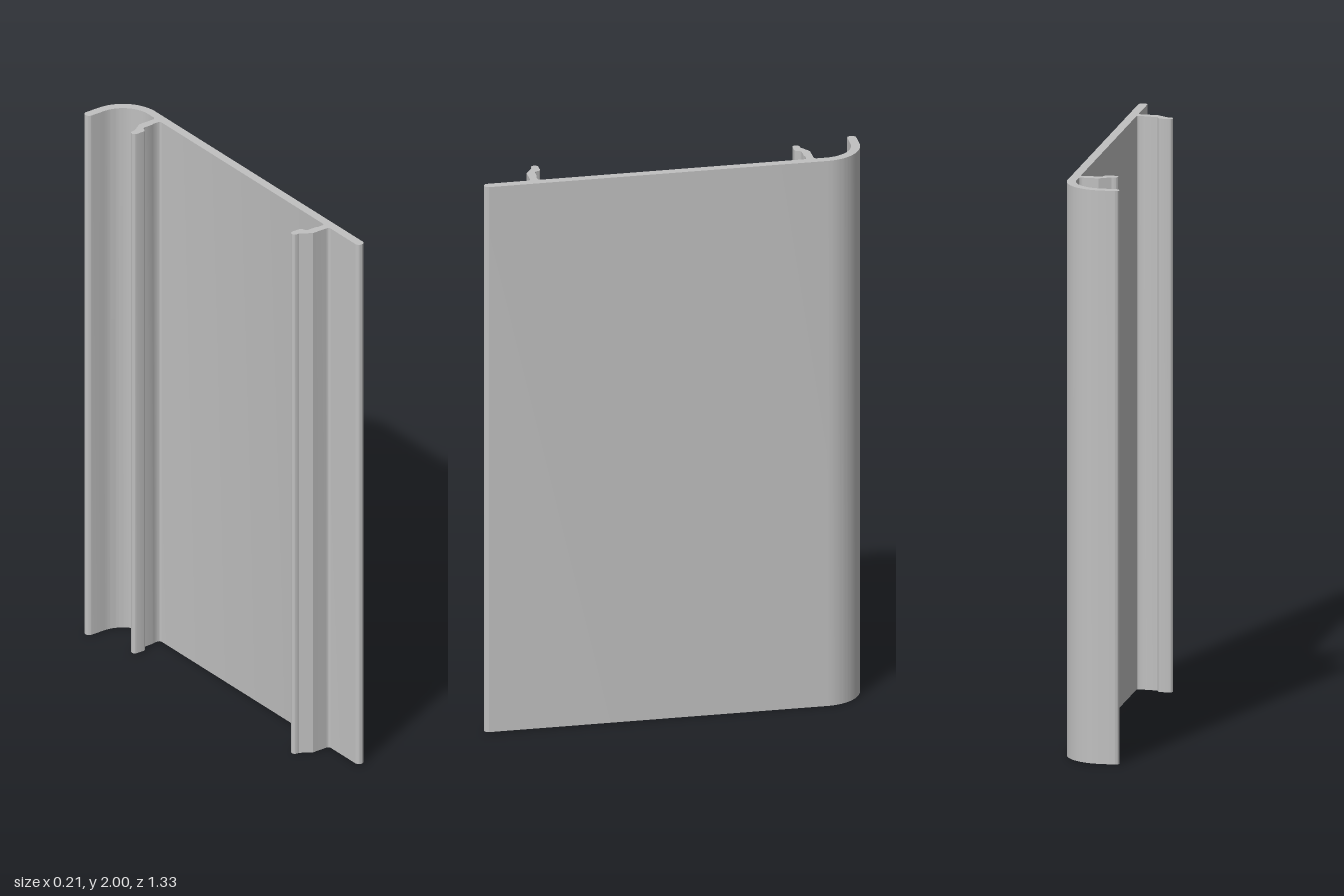
import * as THREE from 'three';
import { toCreasedNormals } from 'three/addons/utils/BufferGeometryUtils.js';

const HEIGHT = 2;
const OUT = 0.103, IN = 0.072;      // outer and inner faces of the panel
const END = 0.664;                  // half the panel width
const T = OUT - IN, R = 0.138;      // wall thickness, bend radius

// Hooked clip rib: outline from its outer root round the tip to its inner root.
// x runs across the panel, y is the distance from the tip's inner face.
function ribPoints() {
  const p = new THREE.Path();
  p.moveTo(IN, 0.063);
  p.quadraticCurveTo(IN, 0.051, 0.06, 0.051);
  p.lineTo(0.004, 0.051);
  p.lineTo(-0.036, 0.025);
  p.absarc(-0.0445, 0.0125, 0.0125, Math.PI / 2, Math.PI * 1.5, false);
  p.lineTo(-0.013, 0);
  p.lineTo(-0.009, 0.003);
  p.lineTo(-0.002, 0.019);
  p.lineTo(0.004, 0.022);
  p.lineTo(0.038, 0.022);
  p.lineTo(0.046, 0.025);
  p.lineTo(0.062, 0.025);
  p.quadraticCurveTo(IN, 0.025, IN, 0.014);
  return p.getPoints(8);
}

export function createModel() {
  const grey = new THREE.MeshStandardMaterial({ color: 0xc0c0c0 });
  grey.name = 'satin grey';

  // Cross-section: shape y is -z
  const s = new THREE.Shape();
  const cx = OUT - R, cy = END - R;
  s.moveTo(IN, -END + T / 2);
  s.absarc((IN + OUT) / 2, -END + T / 2, T / 2, Math.PI, Math.PI * 2, false);   // rounded front edge
  s.absarc(cx, cy, R, 0, Math.PI / 2, false);                                   // outside of the bend
  s.absarc(-OUT + T / 2, END - T / 2, T / 2, Math.PI / 2, Math.PI * 1.5, false); // rounded lip
  s.absarc(cx, cy, R - T, Math.PI / 2, 0, true);                                // inside of the bend

  // Two mirrored ribs on the inner face
  const rib = ribPoints();
  for (const p of rib) s.lineTo(p.x, 0.434 + p.y);
  for (const p of [...rib].reverse()) s.lineTo(p.x, -0.448 - p.y);
  s.closePath();

  let geo = new THREE.ExtrudeGeometry(s, { depth: HEIGHT, bevelEnabled: false, curveSegments: 16 });
  geo.rotateX(-Math.PI / 2);
  geo = toCreasedNormals(geo, 0.45);

  const profile = new THREE.Mesh(geo, grey);
  profile.name = 'extrudedPanel';
  const group = new THREE.Group();
  group.name = 'coverProfile';
  group.add(profile);
  return group;
}
